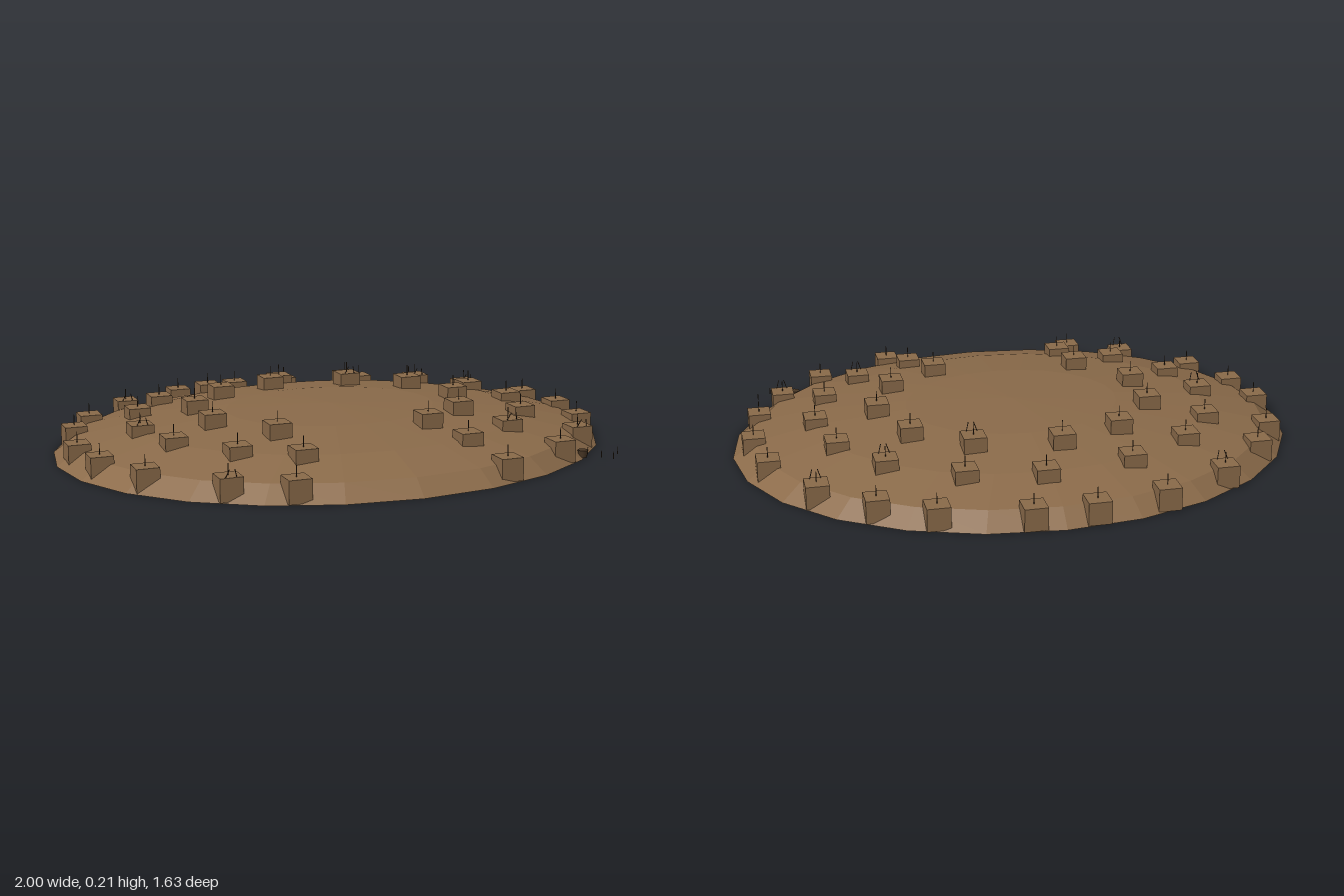
import * as THREE from 'three';

const earth = new THREE.MeshStandardMaterial({ color: 0x8b6b4a, flatShading: true, side: THREE.DoubleSide });
earth.name = 'earth brown';
const wood = new THREE.MeshStandardMaterial({ color: 0x8b6b4a });
wood.name = 'block brown';
const dark = new THREE.MeshStandardMaterial({ color: 0x4a3826 });
dark.name = 'dark stick brown';

// Three rings of blocks: height of block centre, then [x, z] positions
const RINGS = [
  { y: 0.043, at: [[-.36, -.72], [-.11, -.77], [.10, -.77], [.40, -.70], [.58, -.60], [.755, -.45], [.893, -.21],
    [.925, 0], [.888, .22], [.786, .406], [.626, .567], [.348, .711], [-.39, .70], [-.583, .60], [-.797, .396],
    [-.898, .198], [-.93, .01], [-.882, -.246], [-.79, -.406], [-.604, -.594]] },
  { y: 0.093, at: [[-.294, -.54], [.016, -.594], [.278, -.545], [.519, -.406], [.658, -.214], [.706, .01],
    [.647, .235], [.503, .412], [.289, .535], [-.305, .535], [-.492, .422], [-.652, .23], [-.711, .02],
    [-.652, -.235], [-.524, -.406]] },
  { y: 0.13, at: [[-.085, -.406], [.214, -.37], [.406, -.23], [.487, .005], [.401, .23], [.219, .364],
    [-.316, .316], [-.476, .102], [-.47, -.128], [-.31, -.32]] },
];
// Blocks that also carry two leaning sticks, as ring:index
const LEANING = ['0:5', '0:9', '0:13', '0:19', '1:3', '1:7', '1:12', '2:1'];
const SIZE = 0.079;

function add(parent, name, geometry, material, x = 0, y = 0, z = 0) {
  const m = new THREE.Mesh(geometry, material);
  m.name = name;
  m.position.set(x, y, z);
  parent.add(m);
  return m;
}

export function createModel() {
  const model = new THREE.Group();
  model.name = 'moundSettlement';

  // Hollow oval mound
  const dome = new THREE.SphereGeometry(1, 24, 4, 0, Math.PI * 2, 0, Math.PI / 2);
  dome.scale(1, 0.143, 0.815);
  add(model, 'mound', dome, earth);

  // Blocks with sticks
  const cube = new THREE.BoxGeometry(SIZE, SIZE, SIZE);
  const stick = new THREE.CylinderGeometry(0.0015, 0.0015, 0.04, 5);
  RINGS.forEach(({ y, at }, r) => at.forEach(([x, z], i) => {
    const house = new THREE.Group();
    house.name = 'blockHouse';
    house.position.set(x, y, z);
    add(house, 'block', cube, wood);
    add(house, 'uprightStick', stick, dark, 0, SIZE / 2 + 0.018, 0);
    if (LEANING.includes(`${r}:${i}`)) {
      for (const s of [-1, 1]) {
        const lean = add(house, 'leaningStick', stick, dark, s * 0.015, SIZE / 2 + 0.01, 0.035);
        lean.rotation.set(0.4, 0, s * 0.3);
      }
    }
    model.add(house);
  }));

  // Floor disc under the mound
  const floor = add(model, 'floorDisc', new THREE.CircleGeometry(0.313, 32), earth, 0, 0.004, 0);
  floor.rotation.x = Math.PI / 2;

  // Stepped benches on both sides of the floor
  for (const s of [-1, 1]) {
    for (let i = 0; i < 3; i++) {
      add(model, 'bench', new THREE.BoxGeometry(0.5, 0.008, 0.018), wood, 0, 0.015 + i * 0.018, s * (0.31 + i * 0.035));
    }
  }

  // Small pots at the foot of the mound
  const pot = new THREE.CylinderGeometry(0.019, 0.015, 0.025, 10);
  for (const [x, z] of [[0.73, 0.545], [-0.74, 0.46]]) add(model, 'pot', pot, dark, x, 0.015, z);

  // Loose upright sticks beside the pot
  const post = new THREE.CylinderGeometry(0.0015, 0.0015, 0.025, 5);
  for (const [x, z] of [[0.77, 0.51], [0.82, 0.6], [0.87, 0.545], [0.79, 0.57]]) {
    add(model, 'loosePost', post, dark, x, 0.0125, z);
  }
  return model;
}
